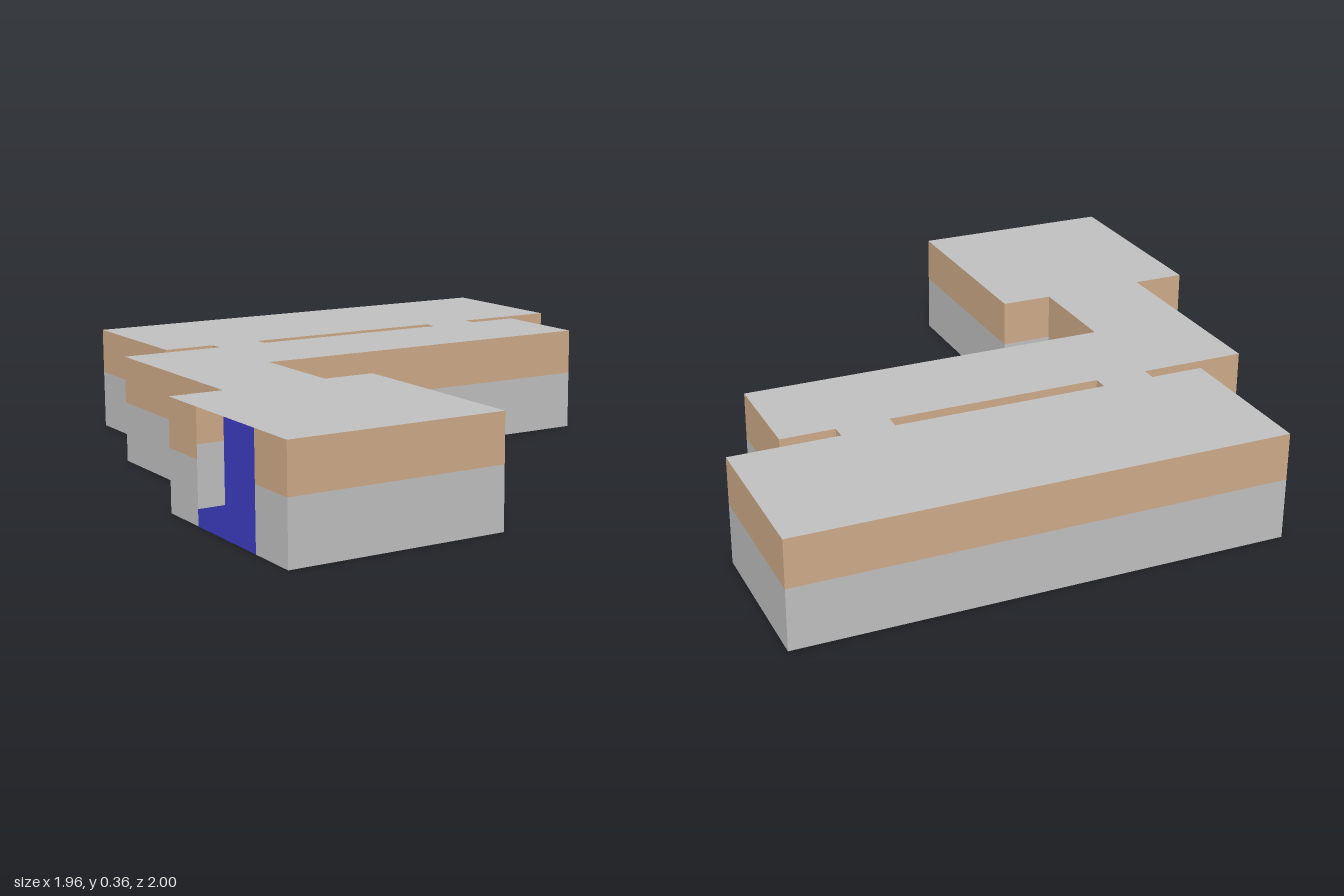
import * as THREE from 'three';
import { mergeGeometries } from 'three/addons/utils/BufferGeometryUtils.js';

const BAND = 0.2, TOP = 0.356;

// Floor plan corners as [x, z]; the last-to-first edge is the open doorway.
const PLAN = [
  [-0.98, 0.82], [-0.98, 1], [-0.27, 1], [-0.27, 0.29], [-0.445, 0.29],
  [-0.445, -0.065], [0.8, -0.065], [0.8, -0.42], [0.62, -0.42], [0.62, -0.47],
  [0.98, -0.47], [0.98, -1], [-0.625, -1], [-0.625, -0.47], [-0.445, -0.47],
  [-0.445, -0.42], [-0.8, -0.42], [-0.8, 0.29], [-0.98, 0.29], [-0.98, 0.47],
];
// Narrow gap between the rear hall and the corridor.
const GAP = [[-0.27, -0.47], [0.445, -0.47], [0.445, -0.42], [-0.27, -0.42]];

function material(name, color) {
  const m = new THREE.MeshStandardMaterial({ color, side: THREE.DoubleSide });
  m.name = name;
  return m;
}

// Horizontal sheet in the form of the floor plan
function sheet(y) {
  const toVec = ([x, z]) => new THREE.Vector2(x, -z);
  const shape = new THREE.Shape(PLAN.map(toVec));
  shape.holes.push(new THREE.Path(GAP.map(toVec)));
  return new THREE.ShapeGeometry(shape).rotateX(-Math.PI / 2).translate(0, y, 0);
}

// Upright panels along a run of corners, between two heights
function panels(points, closed, y0, y1) {
  const out = [];
  const count = closed ? points.length : points.length - 1;
  for (let i = 0; i < count; i++) {
    const [ax, az] = points[i];
    const [bx, bz] = points[(i + 1) % points.length];
    const length = Math.hypot(bx - ax, bz - az);
    out.push(new THREE.PlaneGeometry(length, y1 - y0)
      .rotateY(Math.atan2(az - bz, bx - ax))
      .translate((ax + bx) / 2, (y0 + y1) / 2, (az + bz) / 2));
  }
  return out;
}

function walls(y0, y1) {
  return mergeGeometries([...panels(PLAN, false, y0, y1), ...panels(GAP, true, y0, y1)]);
}

export function createModel() {
  const group = new THREE.Group();
  group.name = 'building';
  const grey = material('grey plaster', 0xc0c0c0);
  const tan = material('tan plaster', 0xcfab89);
  const blue = material('blue floor', 0x2e2e99);

  const add = (name, geometry, mat) => {
    const mesh = new THREE.Mesh(geometry, mat);
    mesh.name = name;
    group.add(mesh);
  };
  add('floor', sheet(0), blue);
  add('lowerWalls', walls(0, BAND), grey);
  add('upperWalls', walls(BAND, TOP), tan);
  add('ceiling', sheet(TOP), grey);
  return group;
}
